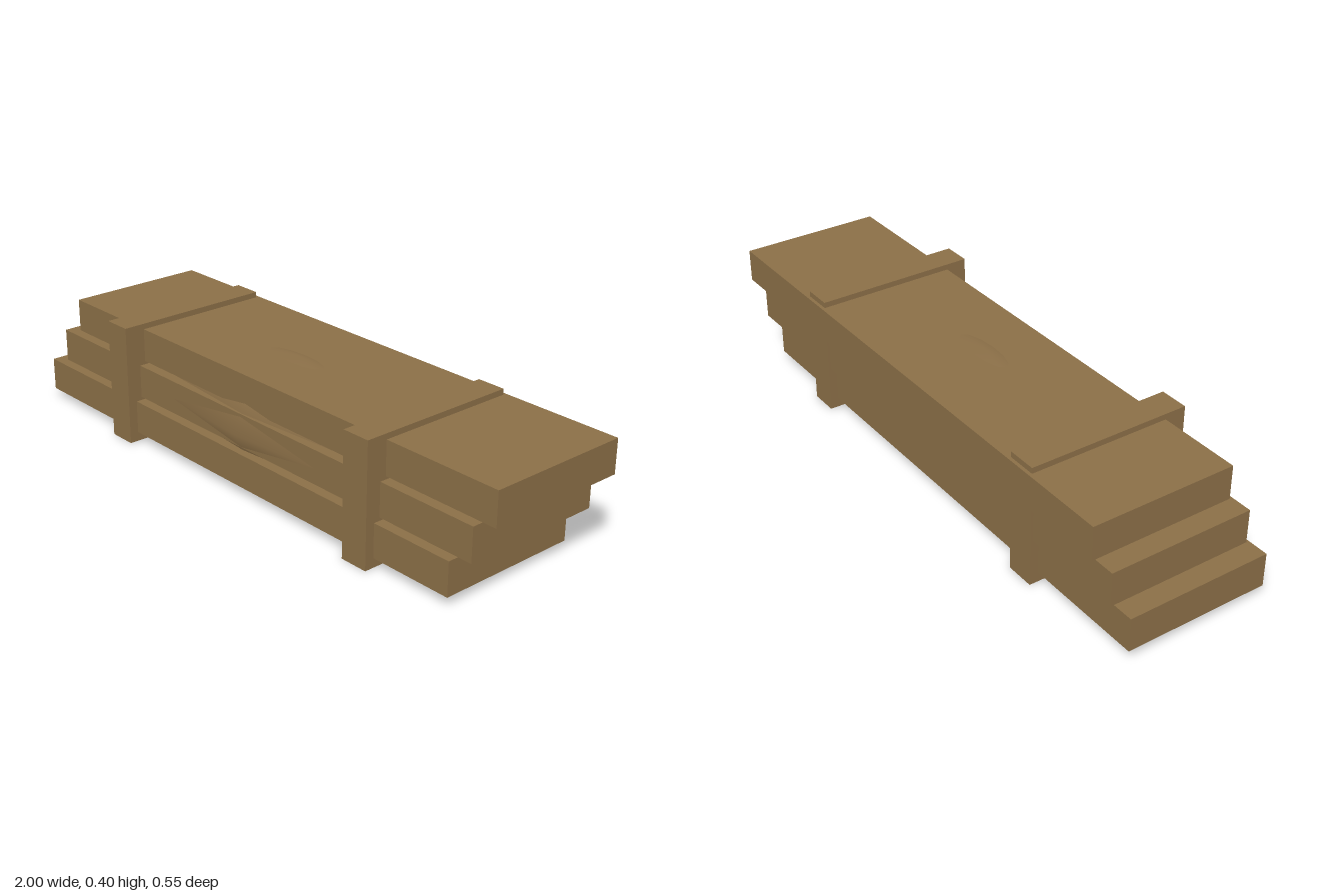
import * as THREE from 'three';

export function createModel() {
  const model = new THREE.Group();
  model.name = 'plankStack';
  const wood = new THREE.MeshStandardMaterial({ color: 0x8b6f47 });
  wood.name = 'wood';

  const add = (name, geometry, x, y, z) => {
    const mesh = new THREE.Mesh(geometry, wood);
    mesh.name = name;
    mesh.position.set(x, y, z);
    model.add(mesh);
    return mesh;
  };

  // Three planks, each stepped sideways and backwards from the one below
  ['bottomPlank', 'middlePlank', 'topPlank'].forEach((name, i) => {
    add(name, new THREE.BoxGeometry(1.88, 0.109, 0.476),
      -0.06 + 0.06 * i, 0.085 + 0.1195 * i, 0.005 - 0.02 * i);
  });

  // Two bands around the stack
  for (const [name, x] of [['rightBand', -0.556], ['leftBand', 0.552]]) {
    add(name, new THREE.BoxGeometry(0.095, 0.397, 0.535), x, 0.1985, 0.0055);
  }

  // Flattened filler core, just breaking through the planks
  add('core', new THREE.SphereGeometry(1, 12, 4).scale(0.82, 0.19, 0.25), 0, 0.2, 0);

  return model;
}
